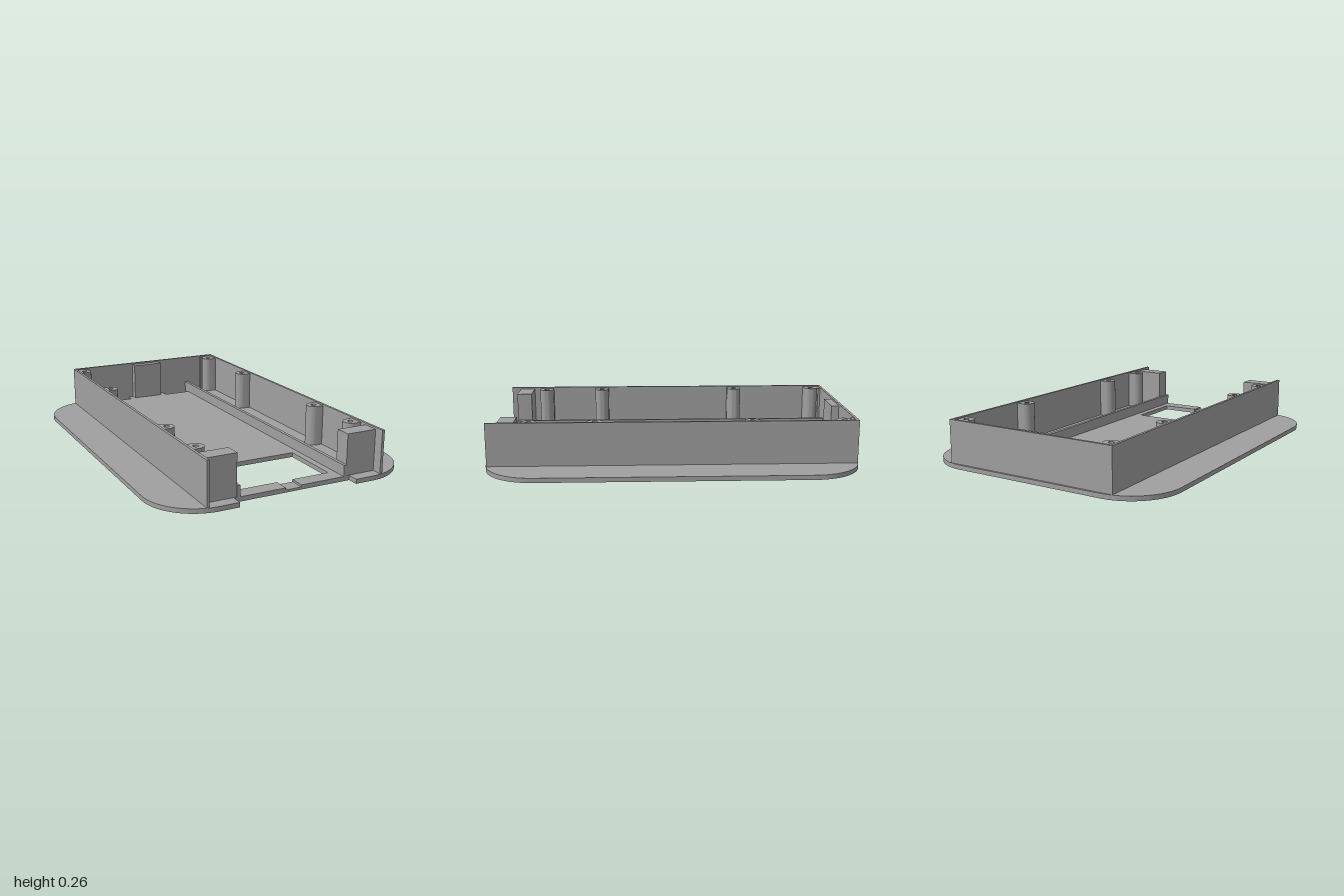
import * as THREE from 'three';
import { toCreasedNormals } from 'three/addons/utils/BufferGeometryUtils.js';

const grey = new THREE.MeshStandardMaterial({ color: 0xa0a0a0 });
grey.name = 'grey plastic';

export function createModel() {
  const group = new THREE.Group();
  group.name = 'caseHalf';

  const add = (name, geometry) => {
    const mesh = new THREE.Mesh(geometry, grey);
    mesh.name = name;
    group.add(mesh);
    return mesh;
  };
  // Box given by its limits on each axis
  const box = (name, x0, x1, y0, y1, z0, z1) =>
    add(name, new THREE.BoxGeometry(x1 - x0, y1 - y0, z1 - z0))
      .position.set((x0 + x1) / 2, (y0 + y1) / 2, (z0 + z1) / 2);
  // Plan outline (shape y = -z) raised to a height
  const raise = (shape, height) => {
    const g = new THREE.ExtrudeGeometry(shape, { depth: height, bevelEnabled: false, curveSegments: 20 });
    g.rotateX(-Math.PI / 2);
    return toCreasedNormals(g, 0.5);
  };

  const T = 0.025, TOP = 0.26, W = 0.72, R = 0.28;

  // Rounded base plate; the front notch runs through a groove into the window
  const plate = new THREE.Shape();
  plate.moveTo(0.335, -1);
  plate.lineTo(W - R, -1);
  plate.absarc(W - R, -1 + R, R, -Math.PI / 2, 0, false);
  plate.absarc(W - R, 1 - R, R, 0, Math.PI / 2, false);
  plate.absarc(-W + R, 1 - R, R, Math.PI / 2, Math.PI, false);
  plate.absarc(-W + R, -1 + R, R, Math.PI, Math.PI * 1.5, false);
  [[-0.335, -1], [-0.335, -0.94], [-0.045, -0.94], [-0.045, -0.855], [-0.262, -0.855],
    [-0.262, -0.51], [0.262, -0.51], [0.262, -0.855], [0.045, -0.855], [0.045, -0.94],
    [0.335, -0.94]].forEach(([x, y]) => plate.lineTo(x, y));
  plate.closePath();
  // Two slots by the back wall
  for (const x of [-0.3, 0.128]) {
    const slot = new THREE.Path();
    slot.setFromPoints([[x, 0.925], [x, 0.975], [x + 0.172, 0.975], [x + 0.172, 0.925]]
      .map(([a, b]) => new THREE.Vector2(a, b)));
    slot.closePath();
    plate.holes.push(slot);
  }
  add('basePlate', raise(plate, T));
  box('grooveFloor', -0.045, 0.045, 0, 0.014, 0.86, 0.94);

  // Back wall and its inner block
  box('backWall', -0.505, 0.505, T, TOP, -0.99, -0.975);
  box('backBlock', -0.097, 0.095, T, 0.25, -0.975, -0.932);

  // D-shaped screw post with a bore, flat side towards +x
  const post = new THREE.Shape();
  post.moveTo(0.038, 0.042);
  post.lineTo(0, 0.042);
  post.absarc(0, 0, 0.042, Math.PI / 2, Math.PI * 1.5, false);
  post.lineTo(0.038, -0.042);
  post.closePath();
  const bore = new THREE.Path();
  bore.absarc(0, 0, 0.015, 0, Math.PI * 2, true);
  post.holes.push(bore);
  const postGeometry = raise(post, 0.253 - T);

  for (const s of [-1, 1]) {
    const side = s > 0 ? 'left' : 'right';
    const mirrored = (name, a, b, ...rest) =>
      box(side + name, Math.min(s * a, s * b), Math.max(s * a, s * b), ...rest);
    mirrored('Wall', 0.49, 0.505, T, TOP, -0.975, 0.99);
    mirrored('Rail', 0.3, 0.32, T, 0.085, -0.975, 0.94);
    mirrored('FrontBlock', 0.317, 0.49, T, 0.25, 0.847, 0.935);
    mirrored('CornerFill', 0.413, 0.49, T, 0.253, -0.975, -0.962);
    for (const z of [-0.92, -0.425, 0.417, 0.767]) {
      const p = add(side + 'ScrewPost', postGeometry);
      p.position.set(s * 0.453, T, z);
      if (s < 0) p.rotation.y = Math.PI;
    }
  }
  return group;
}
